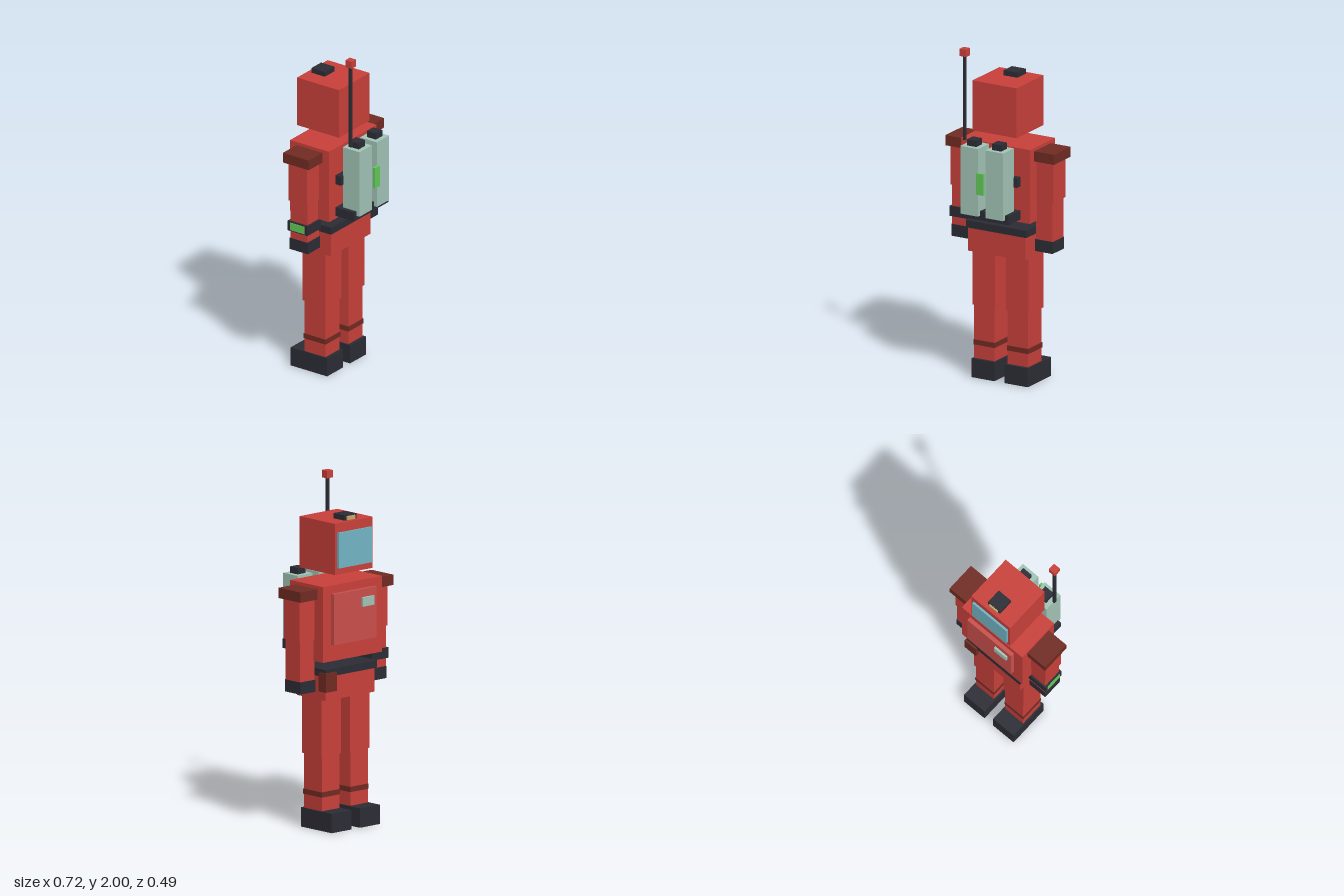
import * as THREE from 'three';

const mat = (name, color) => {
  const m = new THREE.MeshStandardMaterial({ color });
  m.name = name;
  return m;
};

export function createModel() {
  const red = mat('suit red', 0xc8403a);
  const panelRed = mat('panel red', 0xc9504c);
  const dark = mat('charcoal', 0x2c2c35);
  const brown = mat('dark brown', 0x702b22);
  const sage = mat('pale green', 0xa2c4b7);
  const green = mat('bright green', 0x62c85a);
  const blue = mat('visor blue', 0x72b4c4);
  const tan = mat('lamp tan', 0xc8aa6e);

  const model = new THREE.Group();
  model.name = 'spaceSuitFigure';

  // Box given by its minimum and maximum on each axis
  const box = (name, m, [x0, x1], [y0, y1], [z0, z1]) => {
    const mesh = new THREE.Mesh(new THREE.BoxGeometry(x1 - x0, y1 - y0, z1 - z0), m);
    mesh.position.set((x0 + x1) / 2, (y0 + y1) / 2, (z0 + z1) / 2);
    mesh.name = name;
    model.add(mesh);
  };
  // The same box on both sides
  const pair = (name, m, [x0, x1], y, z) => {
    box(name + 'Left', m, [x0, x1], y, z);
    box(name + 'Right', m, [-x1, -x0], y, z);
  };

  // Helmet with visor and lamp
  box('helmet', red, [-0.147, 0.147], [1.49, 1.787], [-0.218, 0.077]);
  box('visor', blue, [-0.129, 0.129], [1.527, 1.733], [-0.231, -0.216]);
  box('lampHousing', dark, [-0.046, 0.046], [1.785, 1.817], [-0.19, -0.097]);
  box('lampLens', tan, [-0.032, 0.032], [1.789, 1.811], [-0.198, -0.188]);

  // Torso with chest panel
  box('torso', red, [-0.229, 0.229], [0.99, 1.43], [-0.207, 0.067]);
  box('chestPanel', panelRed, [-0.166, 0.166], [1.087, 1.382], [-0.231, -0.205]);
  box('chestDisplay', sage, [-0.138, -0.046], [1.282, 1.335], [-0.244, -0.229]);

  // Hips, belt and pouch
  box('hips', red, [-0.191, 0.191], [0.76, 0.905], [-0.185, 0.052]);
  box('belt', dark, [-0.201, 0.201], [0.9, 0.943], [-0.196, 0.061]);
  box('beltPouch', brown, [0.122, 0.208], [0.813, 0.923], [-0.207, -0.148]);

  // Arms
  pair('shoulderPad', brown, [0.212, 0.361], [1.351, 1.411], [-0.161, 0.021]);
  pair('upperArm', red, [0.222, 0.342], [1.115, 1.38], [-0.134, -0.004]);
  pair('forearm', red, [0.224, 0.334], [0.875, 1.118], [-0.129, -0.009]);
  pair('glove', dark, [0.218, 0.336], [0.81, 0.88], [-0.132, -0.004]);

  // Wrist computer on one arm
  box('wristBand', dark, [-0.345, -0.214], [0.928, 0.988], [-0.139, 0]);
  box('wristScreen', green, [-0.349, -0.344], [0.935, 0.981], [-0.12, -0.02]);

  // Legs
  pair('thigh', red, [0.035, 0.187], [0.43, 0.765], [-0.15, 0.012]);
  pair('shin', red, [0.043, 0.179], [0.1, 0.432], [-0.143, 0.005]);
  pair('ankleBand', brown, [0.04, 0.182], [0.192, 0.222], [-0.146, 0.008]);
  pair('boot', dark, [0.033, 0.187], [0, 0.112], [-0.234, 0.023]);

  // Backpack with two tanks
  box('packShelf', dark, [-0.166, 0.166], [1.007, 1.061], [0.065, 0.197]);
  box('packStrap', dark, [-0.166, 0.166], [1.205, 1.261], [0.065, 0.106]);
  pair('tank', sage, [0.024, 0.142], [1.033, 1.436], [0.1, 0.218]);
  pair('tankValve', dark, [0.052, 0.114], [1.434, 1.473], [0.127, 0.191]);
  box('packLight', green, [-0.023, 0.023], [1.171, 1.298], [0.224, 0.241]);

  // Antenna
  box('antenna', dark, [-0.156, -0.14], [1.457, 1.96], [0.152, 0.168]);
  box('antennaTip', red, [-0.17, -0.126], [1.957, 2], [0.138, 0.182]);

  return model;
}
